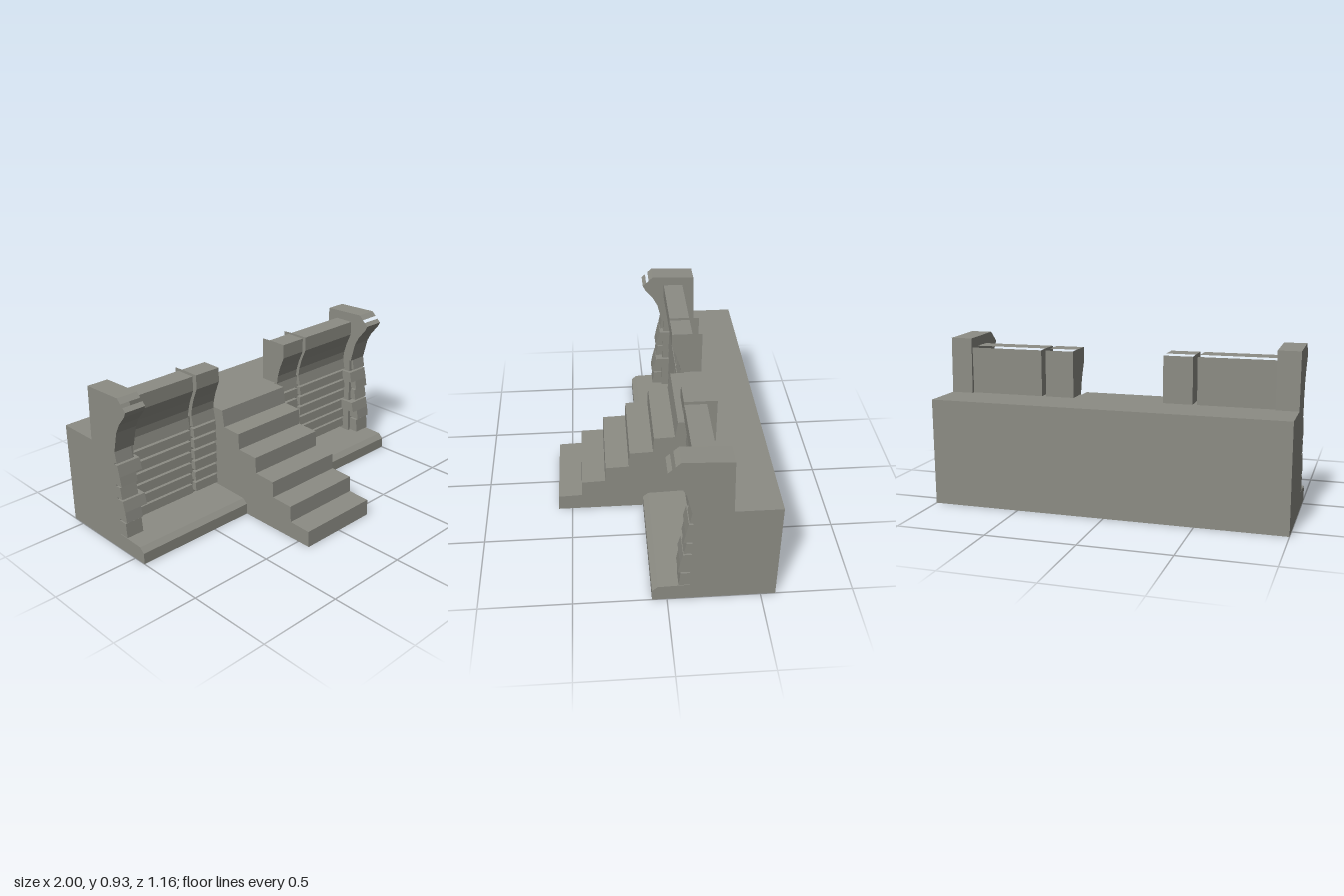
import * as THREE from 'three';

const stone = new THREE.MeshStandardMaterial({ color: 0x8c8c84 });
stone.name = 'grey stone';

// Every profile is a list of [z, y] points.

// Solid profile swept along x
function solid(name, pts, x0, x1) {
  const shape = new THREE.Shape(pts.map(([z, y]) => new THREE.Vector2(-z, y)));
  const geo = new THREE.ExtrudeGeometry(shape, { depth: x1 - x0, bevelEnabled: false });
  geo.rotateY(Math.PI / 2).translate(x0, 0, 0);
  return named(name, geo);
}

// Open skin along x; a profile running upward faces the front
function skin(name, pts, x0, x1) {
  const v = [];
  for (let i = 0; i + 1 < pts.length; i++) {
    const [za, ya] = pts[i], [zb, yb] = pts[i + 1];
    v.push(x0, ya, za, x1, ya, za, x1, yb, zb, x0, ya, za, x1, yb, zb, x0, yb, zb);
  }
  const geo = new THREE.BufferGeometry();
  geo.setAttribute('position', new THREE.Float32BufferAttribute(v, 3));
  geo.computeVertexNormals();
  return named(name, geo);
}

// Flat end face at x, facing along dir
function endFace(name, pts, x, dir) {
  const shape = new THREE.Shape(pts.map(([z, y]) => new THREE.Vector2(-dir * z, y)));
  const geo = new THREE.ShapeGeometry(shape);
  geo.rotateY(dir * Math.PI / 2).translate(x, 0, 0);
  return named(name, geo);
}

function named(name, geo) {
  const mesh = new THREE.Mesh(geo, stone);
  mesh.name = name;
  return mesh;
}

// x range for one side of the model
const span = (s, a, b) => (s > 0 ? [a, b] : [-b, -a]);

export function createModel() {
  const model = new THREE.Group();
  model.name = 'stagePlatform';

  // Main block
  model.add(solid('platform', [[-0.58, 0], [-0.2, 0], [-0.2, 0.6], [-0.58, 0.6]], -1, 1));

  // Central stairs with slightly leaning risers
  const steps = [[-0.2, 0], [0.58, 0]];
  for (let i = 0; i < 5; i++) {
    const z = 0.575 - i * 0.14;
    steps.push([z, 0.095 + i * 0.1], [z - 0.135, 0.1 + i * 0.1]);
  }
  steps[steps.length - 1] = [-0.105, 0.5];
  steps.push([-0.12, 0.6], [-0.2, 0.6]);
  model.add(solid('stairs', steps, -0.25, 0.25));

  // Profiles shared by both sides
  const ledge = [[-0.2, 0], [0.08, 0], [0.08, 0.065], [0.05, 0.092], [-0.2, 0.1]];
  const flare = [[-0.185, 0.6], [-0.178, 0.65], [-0.16, 0.71], [-0.13, 0.78], [-0.13, 0.865]];
  const parapetTop = [[-0.13, 0.865], [-0.25, 0.865]];
  const parapetBack = [[-0.31, 0.862], [-0.31, 0.6]];
  const pillarFront = [[-0.12, 0.6], [-0.09, 0.72], [-0.06, 0.775], [-0.01, 0.835],
    [0.005, 0.865], [-0.017, 0.885]];
  const pillarRest = [[-0.033, 0.9], [-0.06, 0.925], [-0.32, 0.915], [-0.33, 0.6]];
  // Corner blocks: bottom, top, front z at bottom and top, inner x
  const blocks = [
    [0.1, 0.185, -0.06, -0.068, 0.895], [0.195, 0.255, -0.055, -0.065, 0.895],
    [0.255, 0.317, -0.065, -0.08, 0.855], [0.327, 0.395, -0.082, -0.095, 0.895],
    [0.405, 0.46, -0.08, -0.09, 0.895], [0.46, 0.525, -0.09, -0.105, 0.855],
    [0.535, 0.6, -0.108, -0.12, 0.895],
  ];

  for (const s of [1, -1]) {
    const side = new THREE.Group();
    side.name = s > 0 ? 'leftSide' : 'rightSide';
    model.add(side);

    side.add(solid('ledge', ledge, ...span(s, 0.25, 1)));

    // Two wall bays separated by a narrow gap
    for (const [a, b] of [[0.26, 0.425], [0.45, 0.875]]) {
      const [x0, x1] = span(s, a, b);
      for (let i = 0; i < 6; i++) {
        const y = 0.12 + i * 0.07;
        side.add(solid('wallBoard', [[-0.21, y], [-0.165, y], [-0.17, y + 0.053], [-0.21, y + 0.053]], x0, x1));
      }
      side.add(solid('wallTop', [[-0.21, 0.535], [-0.172, 0.535], [-0.185, 0.6], [-0.21, 0.6]], x0, x1));
      // Hollow parapet, open along the rear of its top
      side.add(skin('parapetFront', flare, x0, x1));
      side.add(skin('parapetTop', parapetTop, x0, x1));
      side.add(skin('parapetBack', parapetBack, x0, x1));
      const outline = [...flare, [-0.25, 0.865], ...parapetBack];
      side.add(endFace('parapetEnd', outline, x0, -1), endFace('parapetEnd', outline, x1, 1));
    }

    // Corner pillar: stacked blocks below, flared head above
    side.add(solid('pillarCore', [[-0.21, 0.09], [-0.12, 0.09], [-0.13, 0.6], [-0.21, 0.6]], ...span(s, 0.875, 1)));
    for (const [y0, y1, z0, z1, inner] of blocks) {
      side.add(solid('cornerBlock', [[-0.2, y0], [z0, y0], [z1, y1], [-0.2, y1]], ...span(s, inner, 1)));
    }
    const [p0, p1] = span(s, 0.875, 1);
    side.add(skin('pillarFront', pillarFront, p0, p1));
    side.add(skin('pillarCap', pillarRest, p0, p1));
    // Underside where the head passes the core
    side.add(skin('pillarUnderside', [[-0.2, 0.6], [-0.12, 0.6]], p0, p1));
    const head = [...pillarFront, ...pillarRest];
    side.add(endFace('pillarEnd', head, p0, -1), endFace('pillarEnd', head, p1, 1));
  }
  return model;
}
